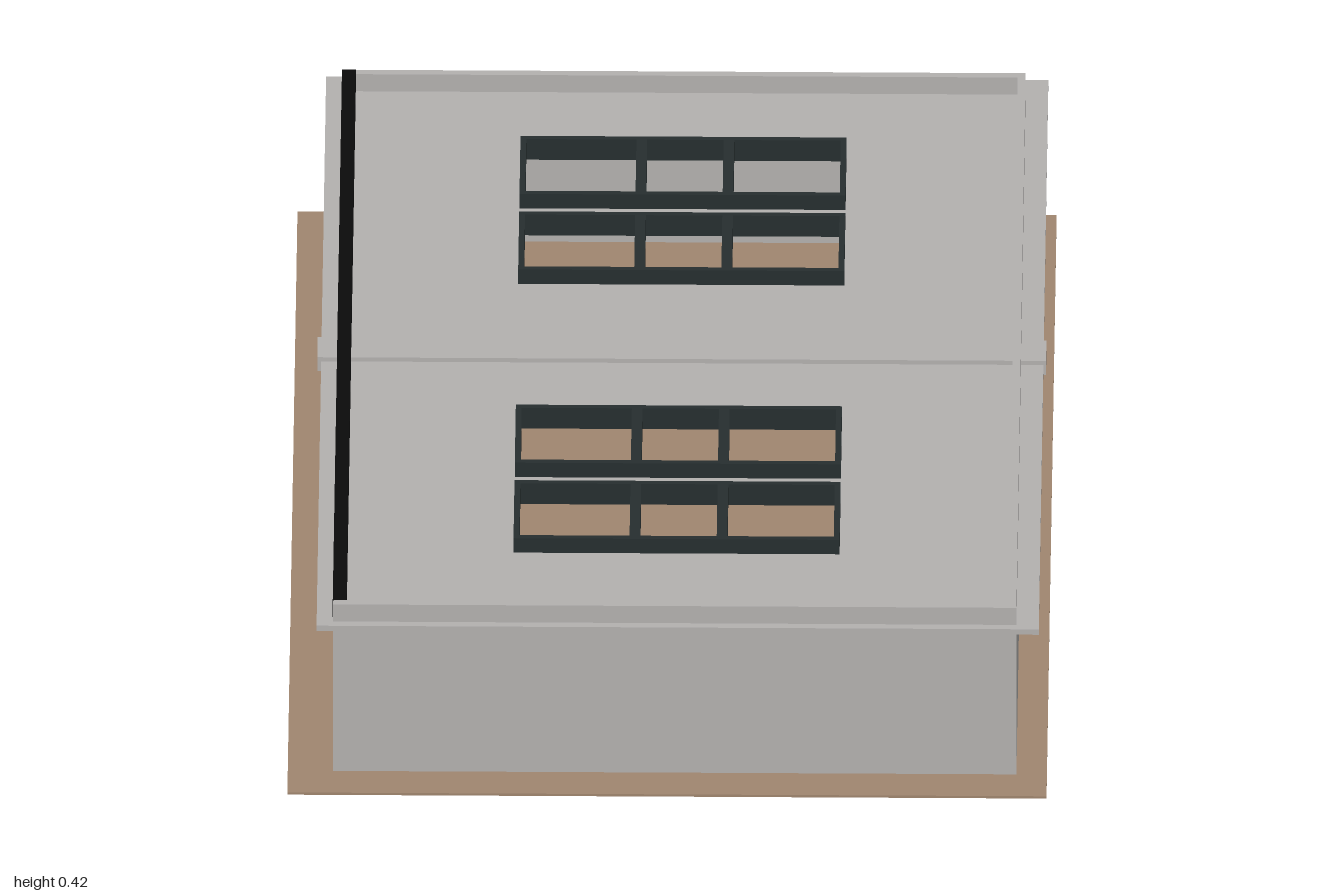
import * as THREE from 'three';

export function createModel() {
  const model = new THREE.Group();
  model.name = 'flatRoofBuilding';

  const mat = (name, color) => {
    const m = new THREE.MeshStandardMaterial({ color });
    m.name = name;
    return m;
  };
  const grey = mat('concreteGrey', 0xb3b1af);
  const brown = mat('earthBrown', 0xa0866f);
  const dark = mat('frameDark', 0x262e2f);
  const black = mat('trimBlack', 0x0b0b0b);

  // Box given by its minimum and maximum corners
  const box = (name, material, x0, x1, y0, y1, z0, z1, parent = model) => {
    const mesh = new THREE.Mesh(new THREE.BoxGeometry(x1 - x0, y1 - y0, z1 - z0), material);
    mesh.position.set((x0 + x1) / 2, (y0 + y1) / 2, (z0 + z1) / 2);
    mesh.name = name;
    parent.add(mesh);
    return mesh;
  };

  // Ground plate
  box('groundPlate', brown, -0.71, 0.71, 0.042, 0.047, -1, 1);

  // Black footing ring under the walls
  const footing = new THREE.Group();
  footing.name = 'footing';
  model.add(footing);
  box('footingLeft', black, 0.62, 0.638, 0, 0.042, -0.9, 0.91, footing);
  box('footingRight', black, -0.605, -0.587, 0, 0.042, -0.9, 0.91, footing);
  box('footingFront', black, -0.587, 0.62, 0, 0.042, 0.892, 0.91, footing);
  box('footingBack', black, -0.587, 0.62, 0, 0.042, -0.9, -0.882, footing);

  // Outer walls, rising past the roof as a parapet
  const top = 0.418;
  box('frontWall', grey, -0.625, 0.653, 0.012, top, 0.91, 0.925);
  box('backWall', grey, -0.605, 0.653, 0.012, top, -0.915, -0.9);
  box('leftWall', grey, 0.638, 0.653, 0.012, top, -0.9, 0.91);
  box('rightWall', brown, -0.625, -0.605, 0.012, 0.372, -0.915, 0.91);
  box('rightParapet', black, -0.626, -0.6, 0.38, top, -0.916, 0.91);

  // Roof slab with skylight openings, overhanging as a cornice
  const rect = (target, x0, x1, z0, z1) => {
    target.moveTo(x0, -z0);
    target.lineTo(x1, -z0);
    target.lineTo(x1, -z1);
    target.lineTo(x0, -z1);
    target.closePath();
    return target;
  };
  const skyX0 = -0.29, skyX1 = 0.32;
  const skylights = [[-0.7, -0.5], [-0.44, -0.24], [0.225, 0.425], [0.485, 0.685]];
  const roofShape = rect(new THREE.Shape(), -0.656, 0.695, -0.95, 0.94);
  for (const [z0, z1] of skylights) {
    roofShape.holes.push(rect(new THREE.Path(), skyX0, skyX1, z0, z1));
  }
  const roofGeo = new THREE.ExtrudeGeometry(roofShape, { depth: 0.012, bevelEnabled: false });
  roofGeo.rotateX(-Math.PI / 2);
  const roof = new THREE.Mesh(roofGeo, grey);
  roof.name = 'roofSlab';
  roof.position.y = 0.368;
  model.add(roof);

  // Low beam crossing the roof, its ends standing out beyond the cornice
  box('roofBeam', grey, -0.663, 0.7, 0.358, 0.389, -0.04, 0.03);

  // Skylight frames, each with two double mullions
  const f = 0.011, fy0 = 0.366, fy1 = 0.412;
  for (const [z0, z1] of skylights) {
    const frame = new THREE.Group();
    frame.name = 'skylightFrame';
    model.add(frame);
    box('frameBack', dark, skyX0, skyX1, fy0, fy1, z0, z0 + f, frame);
    box('frameFront', dark, skyX0, skyX1, fy0, fy1, z1 - f, z1, frame);
    box('frameRight', dark, skyX0, skyX0 + f, fy0, fy1, z0 + f, z1 - f, frame);
    box('frameLeft', dark, skyX1 - f, skyX1, fy0, fy1, z0 + f, z1 - f, frame);
    for (const x of [-0.063, 0.1]) {
      box('mullion', dark, x - 0.01, x + 0.01, fy0, fy1, z0 + f, z1 - f, frame);
    }
  }

  // Plaster patches on the brown wall
  for (const z of [-0.575, -0.01, 0.56]) {
    const patch = new THREE.Mesh(new THREE.CircleGeometry(1, 32), grey);
    patch.scale.set(0.13, 0.095, 1);
    patch.rotation.y = -Math.PI / 2;
    patch.position.set(-0.6275, 0.262, z);
    patch.name = 'wallPatch';
    model.add(patch);
  }

  // Door and two small windows in the brown wall
  box('door', dark, -0.634, -0.625, 0.047, 0.215, -0.64, -0.5);
  for (const z of [-0.28, 0.28]) {
    const win = new THREE.Group();
    win.name = 'window';
    model.add(win);
    box('windowFrame', dark, -0.633, -0.625, 0.255, 0.313, z - 0.066, z + 0.066, win);
    box('windowPane', grey, -0.635, -0.633, 0.272, 0.296, z - 0.042, z + 0.042, win);
  }

  return model;
}
